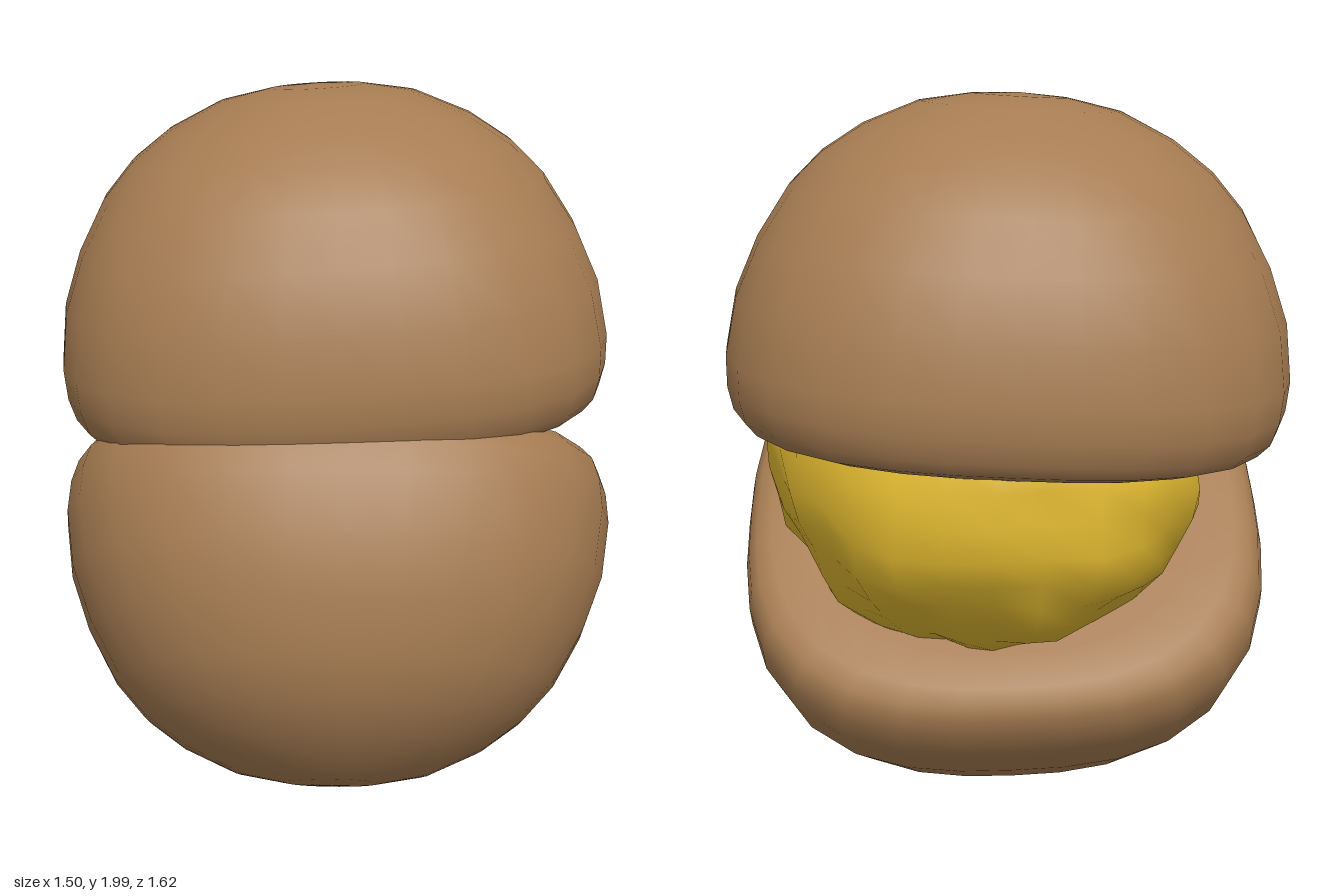
import * as THREE from 'three';
import { mergeVertices } from 'three/addons/utils/BufferGeometryUtils.js';

// Weld seams and poles so the shading is smooth all round
function smooth(geometry) {
  geometry.deleteAttribute('uv');
  geometry.deleteAttribute('normal');
  const welded = mergeVertices(geometry, 1e-4);
  welded.computeVertexNormals();
  return welded;
}

// Domed bun half: flat cut face near y = 0, rounded-square plan
function bunGeometry() {
  const profile = [
    [0, 0.01], [0.4, 0.01], [0.75, 0], [0.88, 0.005], [0.94, 0.025], [0.975, 0.06],
    [0.995, 0.12], [1, 0.2], [0.97, 0.35], [0.9, 0.49], [0.8, 0.62],
    [0.69, 0.71], [0.55, 0.785], [0.36, 0.85], [0.17, 0.877], [0, 0.884],
  ].map(([r, y]) => new THREE.Vector2(r, y));
  const geometry = new THREE.LatheGeometry(profile, 32);
  const p = geometry.attributes.position;
  for (let i = 0; i < p.count; i++) {
    const x = p.getX(i), z = p.getZ(i), r = Math.hypot(x, z);
    if (r < 1e-6) continue;
    const n = 2 + 0.8 * r * r; // rounder towards the crown
    const k = r / Math.pow(Math.abs(x) ** n + Math.abs(z) ** n, 1 / n);
    p.setX(i, x * k * 0.75);
    p.setZ(i, z * k * 0.73);
  }
  return smooth(geometry);
}

// Lumpy scoop of filling
function fillingGeometry() {
  const geometry = new THREE.SphereGeometry(1, 28, 18);
  const p = geometry.attributes.position;
  const v = new THREE.Vector3();
  for (let i = 0; i < p.count; i++) {
    v.fromBufferAttribute(p, i);
    const lump = 0.022 * Math.sin(7 * v.x + 3 * v.y) + 0.022 * Math.sin(8 * v.z - 5 * v.x)
      + 0.018 * Math.sin(13 * v.y + 9 * v.z) + 0.018 * Math.sin(15 * v.x + 11 * v.z);
    v.multiplyScalar(1 + lump);
    p.setXYZ(i, v.x * 0.58, v.y * 0.49, v.z * 0.585);
  }
  return smooth(geometry);
}

export function createModel() {
  const model = new THREE.Group();
  const crust = new THREE.MeshStandardMaterial({ color: 0xa67c52 });
  const yellow = new THREE.MeshStandardMaterial({ color: 0xe0b830 });
  const bun = bunGeometry();

  // Upper half, rolled slightly to one side
  const topBun = new THREE.Mesh(bun, crust);
  topBun.name = 'topBun';
  topBun.position.set(0, 1.115, -0.07);
  topBun.rotation.z = 0.055;

  // Lower half, hinged open towards the back
  const bottomBun = new THREE.Mesh(bun, crust);
  bottomBun.name = 'bottomBun';
  bottomBun.position.set(0, 0.88, -0.02);
  bottomBun.rotation.set(Math.PI - 0.625, 0, 0.045);

  const filling = new THREE.Mesh(fillingGeometry(), yellow);
  filling.name = 'filling';
  filling.position.set(0.04, 1.0, -0.15);

  model.add(topBun, bottomBun, filling);
  return model;
}
